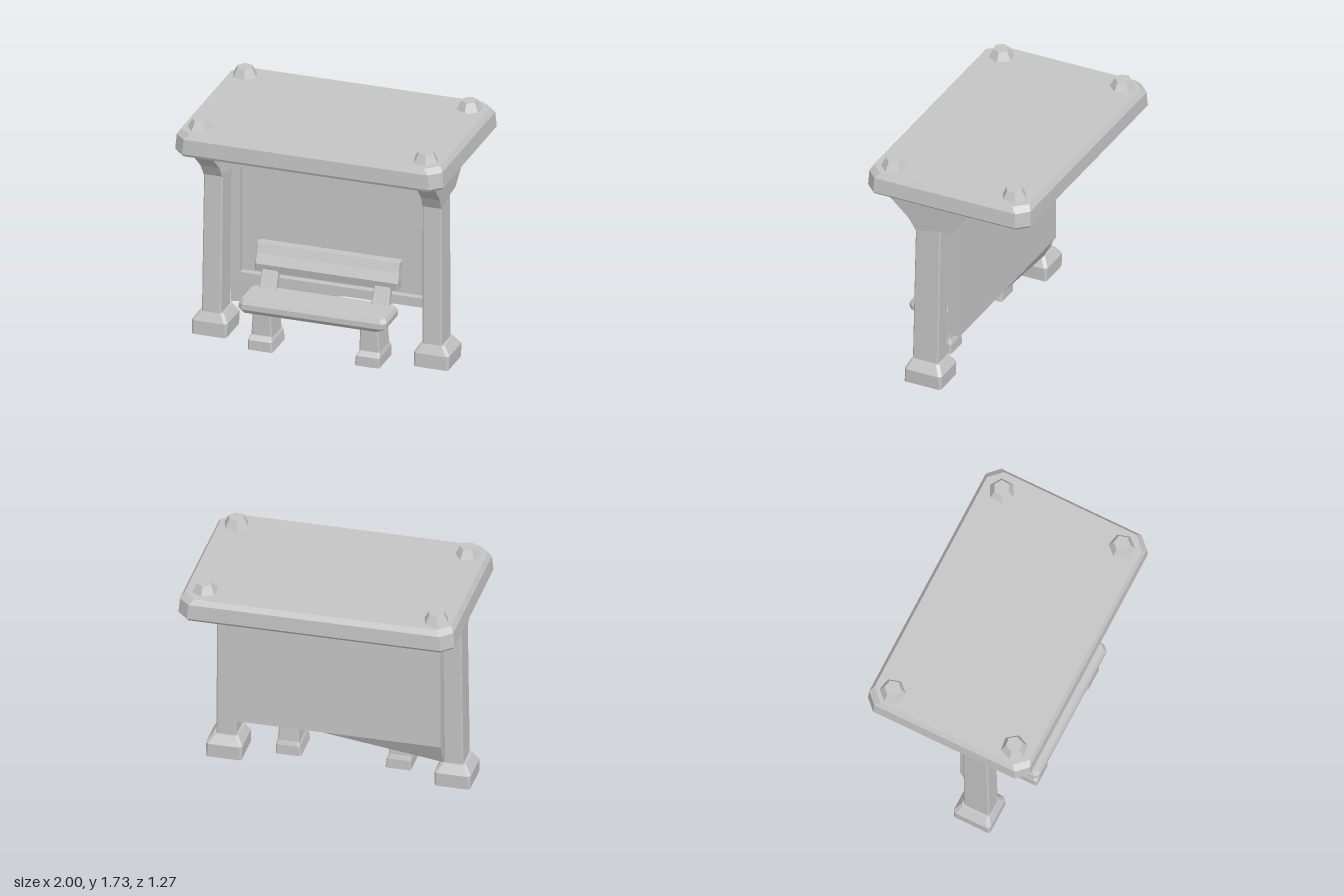
import * as THREE from 'three';

// Stack of chamfered rectangles, each [y, x0, x1, z0, z1, cornerCut], from bottom to top
function loft(rings) {
  const pos = [], idx = [];
  for (const [y, x0, x1, z0, z1, c] of rings) {
    const ring = [[x0 + c, z1], [x1 - c, z1], [x1, z1 - c], [x1, z0 + c],
      [x1 - c, z0], [x0 + c, z0], [x0, z0 + c], [x0, z1 - c]];
    for (const [x, z] of ring) pos.push(x, y, z);
  }
  for (let r = 0; r < rings.length - 1; r++) {
    for (let i = 0; i < 8; i++) {
      const a = r * 8 + i, b = r * 8 + (i + 1) % 8;
      idx.push(a, b, b + 8, a, b + 8, a + 8);
    }
  }
  const t = (rings.length - 1) * 8;
  for (let i = 1; i < 7; i++) {
    idx.push(0, i + 1, i);
    idx.push(t, t + i, t + i + 1);
  }
  return faceted(pos, idx);
}

// Flat-faced geometry from points and triangles
function faceted(pos, idx) {
  const g = new THREE.BufferGeometry();
  g.setAttribute('position', new THREE.Float32BufferAttribute(pos, 3));
  g.setIndex(idx);
  const flat = g.toNonIndexed();
  flat.computeVertexNormals();
  return flat;
}

function extrude(points, depth, hole) {
  const shape = new THREE.Shape(points.map(p => new THREE.Vector2(...p)));
  if (hole) shape.holes.push(new THREE.Path(hole.map(p => new THREE.Vector2(...p))));
  return new THREE.ExtrudeGeometry(shape, { depth, bevelEnabled: false });
}

const rect = (x, y0, y1) => [[-x, y0], [x, y0], [x, y1], [-x, y1]];

export function createModel() {
  const model = new THREE.Group();
  model.name = 'shelterWithBench';
  const grey = new THREE.MeshStandardMaterial({ color: 0xc4c4c4 });
  grey.name = 'plain grey';
  const add = (parent, name, geometry) => {
    const m = new THREE.Mesh(geometry, grey);
    m.name = name;
    parent.add(m);
    return m;
  };

  // Roof slab with clipped corners
  add(model, 'roof', loft([
    [1.5, -0.98, 0.98, -0.625, 0.625, 0.07],
    [1.52, -1, 1, -0.64, 0.635, 0.08],
    [1.63, -0.99, 0.99, -0.635, 0.63, 0.08],
    [1.668, -0.965, 0.965, -0.61, 0.61, 0.09],
  ]));

  // Chunky studs on the roof corners
  [[-0.85, -0.48], [0.83, -0.47], [-0.84, 0.47], [0.84, 0.47]].forEach(([x, z], i) => {
    const stud = new THREE.CylinderGeometry(0.06, 0.1, 0.075, 6).toNonIndexed();
    stud.computeVertexNormals();
    const m = add(model, 'roofStud', stud);
    m.position.set(x, 1.695, z);
    m.rotation.y = 0.3 + i * 0.7;
  });

  // Posts, feet and roof brackets, mirrored
  for (const side of [1, -1]) {
    const support = new THREE.Group();
    support.name = side > 0 ? 'leftSupport' : 'rightSupport';
    support.scale.x = side;
    model.add(support);
    add(support, 'postFoot', loft([
      [0.005, 0.7, 0.955, 0.05, 0.335, 0.01],
      [0.11, 0.695, 0.96, 0.045, 0.335, 0.02],
      [0.175, 0.735, 0.915, 0.085, 0.305, 0.02],
    ]));
    add(support, 'post', loft([
      [0.16, 0.75, 0.895, 0.1, 0.3, 0.01],
      [1.3, 0.745, 0.885, 0.085, 0.28, 0.01],
    ]));
    // Flared bracket running front to back
    const flare = extrude([[0.28, 1.22], [0.33, 1.31], [0.52, 1.5], [-0.27, 1.5], [-0.24, 1.48],
      [-0.13, 1.43], [-0.01, 1.27], [0.09, 1.26]], 0.14);
    flare.rotateY(-Math.PI / 2);
    const p = flare.attributes.position;
    for (let i = 0; i < p.count; i++) {
      // lean outwards slightly towards the roof
      p.setX(i, p.getX(i) + 0.885 + 0.025 * (p.getY(i) - 1.22) / 0.28);
    }
    flare.computeVertexNormals();
    add(support, 'roofBracket', flare);
    // Inner triangular brace
    const brace = extrude([[0.73, 1.24], [0.8, 1.24], [0.8, 1.5], [0.53, 1.5], [0.54, 1.48]], 0.17);
    add(support, 'innerBrace', brace).position.z = 0.09;
  }

  // Back panel: sheet and raised frame
  const sheet = extrude(rect(0.755, 0.35, 1.27), 0.045);
  add(model, 'backPanel', sheet);
  const frame = extrude([[-0.755, 0.35], [0.755, 0.35], [0.755, 1.27], [0.7, 1.29], [-0.7, 1.27], [-0.755, 1.26]],
    0.06, rect(0.68, 0.42, 1.23));
  add(model, 'panelFrame', frame).position.z = 0.035;

  // Wedge hanging below one end of the panel
  add(model, 'panelWedge', faceted(
    [-0.755, 0.36, 0, -0.755, 0.18, 0.09, -0.755, 0.42, 0.095, 0.1, 0.35, 0, 0.1, 0.35, 0.094],
    [0, 1, 2, 1, 4, 2, 0, 3, 1, 1, 3, 4, 0, 2, 3, 2, 4, 3]));

  // Bench
  const bench = new THREE.Group();
  bench.name = 'bench';
  model.add(bench);
  add(bench, 'seat', loft([
    [0.295, -0.54, 0.5, 0.23, 0.48, 0.03],
    [0.33, -0.555, 0.545, 0.21, 0.51, 0.03],
    [0.37, -0.55, 0.55, 0.205, 0.51, 0.03],
    [0.4, -0.535, 0.535, 0.22, 0.495, 0.03],
  ]));
  add(bench, 'backrest', loft([
    [0.5, -0.535, 0.53, 0.12, 0.2, 0.008],
    [0.56, -0.53, 0.535, 0.105, 0.215, 0.01],
    [0.63, -0.535, 0.53, 0.095, 0.18, 0.01],
    [0.695, -0.535, 0.53, 0.085, 0.155, 0.008],
  ]));
  for (const side of [1, -1]) {
    const half = new THREE.Group();
    half.name = side > 0 ? 'leftBenchSupport' : 'rightBenchSupport';
    half.scale.x = side;
    bench.add(half);
    add(half, 'benchFoot', loft([
      [0.01, 0.305, 0.49, 0.2, 0.47, 0.01],
      [0.085, 0.315, 0.49, 0.2, 0.47, 0.01],
      [0.115, 0.33, 0.48, 0.21, 0.44, 0.01],
    ]));
    add(half, 'benchLeg', loft([
      [0.1, 0.325, 0.48, 0.215, 0.43, 0.01],
      [0.32, 0.335, 0.465, 0.225, 0.435, 0.01],
    ]));
    add(half, 'backrestSupport', loft([
      [0.36, 0.355, 0.485, 0.2, 0.28, 0.008],
      [0.6, 0.36, 0.475, 0.12, 0.17, 0.008],
    ]));
  }
  return model;
}
